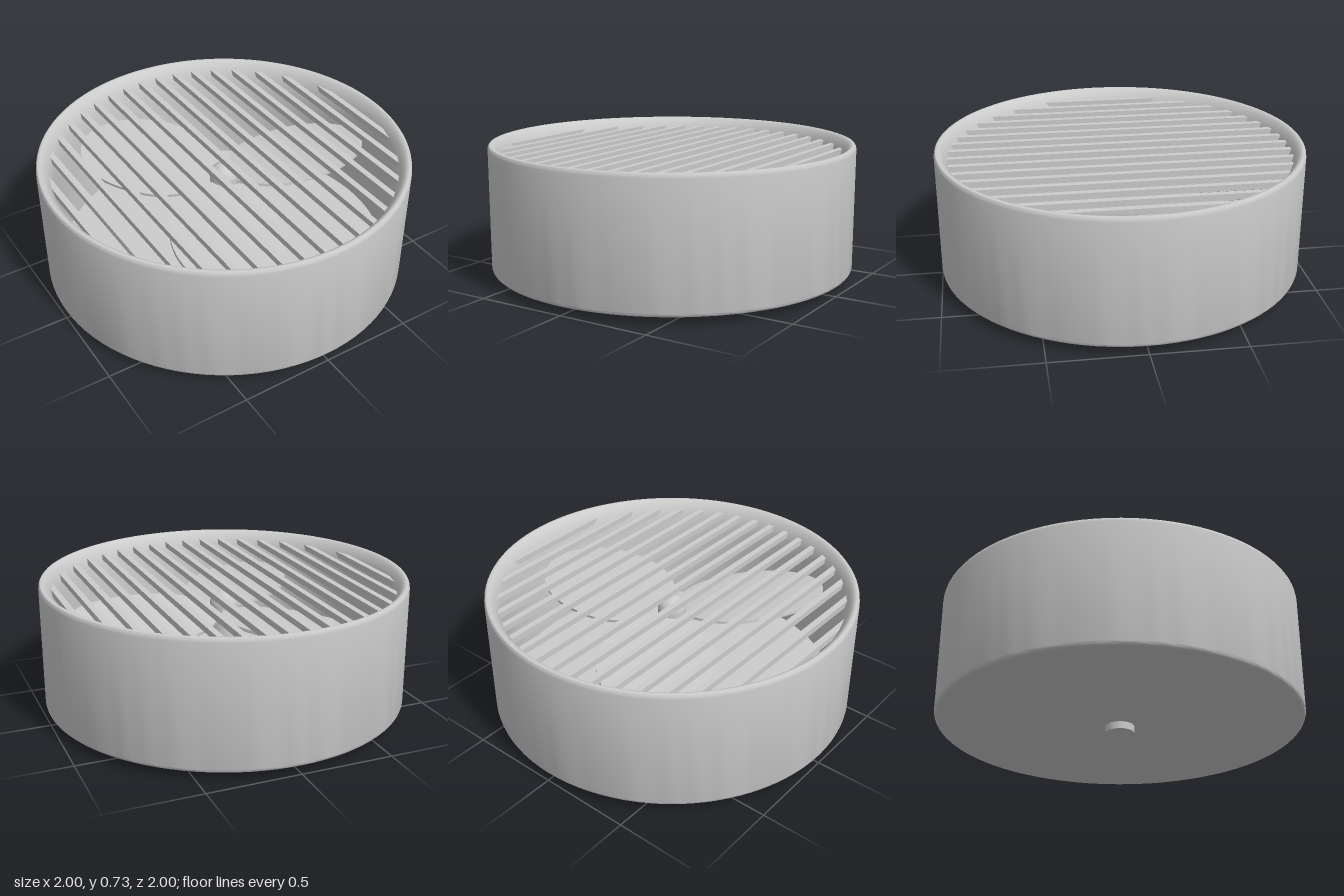
import * as THREE from 'three';
import { toCreasedNormals } from 'three/addons/utils/BufferGeometryUtils.js';

const material = new THREE.MeshStandardMaterial({ color: 0xcccccc });

function addMesh(parent, name, geometry) {
  const mesh = new THREE.Mesh(toCreasedNormals(geometry, 0.6), material);
  mesh.name = name;
  parent.add(mesh);
  return mesh;
}

// Flat shape drawn in x/z and thickened along y, with its top at y = 0
function slab(shape, thickness) {
  const geometry = new THREE.ExtrudeGeometry(shape, { depth: thickness, bevelEnabled: false, curveSegments: 16 });
  return geometry.rotateX(Math.PI / 2);
}

export function createModel() {
  const model = new THREE.Group();
  model.name = 'ventilationFan';

  // Round open-topped housing with softened rim and base edges
  const profile = [
    [0, 0.04], [0.98, 0.04], [0.99, 0.043], [0.997, 0.05], [1, 0.06],
    [1, 0.705], [0.998, 0.718], [0.992, 0.727], [0.983, 0.73],
    [0.972, 0.727], [0.96, 0.716], [0.945, 0.695], [0.932, 0.67], [0.92, 0.63],
    [0.91, 0.56], [0.905, 0.45], [0.905, 0.1], [0, 0.1],
  ].map(([r, y]) => new THREE.Vector2(r, y));
  addMesh(model, 'housing', new THREE.LatheGeometry(profile, 96));

  // Axle, protruding below the base, capped by a ball
  const axle = addMesh(model, 'axle', new THREE.CylinderGeometry(0.078, 0.078, 0.56, 40));
  axle.position.y = 0.28;
  const hub = addMesh(model, 'hub', new THREE.SphereGeometry(0.078, 40, 24));
  hub.position.y = 0.56;

  // Three pitched oval blades
  const blade = new THREE.Shape();
  blade.moveTo(0.03, -0.04);
  blade.bezierCurveTo(0.12, -0.2, 0.22, -0.295, 0.45, -0.295);
  blade.bezierCurveTo(0.72, -0.31, 0.9, -0.15, 0.9, 0);
  blade.bezierCurveTo(0.9, 0.15, 0.72, 0.31, 0.45, 0.295);
  blade.bezierCurveTo(0.22, 0.295, 0.12, 0.2, 0.03, 0.04);
  blade.closePath();
  const bladeGeometry = slab(blade, 0.016).rotateX(-0.12);
  for (let i = 0; i < 3; i++) {
    const mesh = addMesh(model, 'blade', bladeGeometry);
    mesh.position.y = 0.54;
    mesh.rotation.y = (i * Math.PI * 2) / 3;
  }

  // Grille of parallel slats whose ends follow the housing's inner circle
  const grille = new THREE.Group();
  grille.name = 'grille';
  model.add(grille);
  const radius = 0.935, halfWidth = 0.017;
  for (let i = -8; i <= 8; i++) {
    const x0 = i * 0.111 - halfWidth;
    const x1 = i * 0.111 + halfWidth;
    const z0 = Math.sqrt(radius ** 2 - x0 ** 2);
    const z1 = Math.sqrt(radius ** 2 - x1 ** 2);
    const shape = new THREE.Shape([[x0, -z0], [x1, -z1], [x1, z1], [x0, z0]]
      .map(([x, z]) => new THREE.Vector2(x, z)));
    addMesh(grille, 'slat', slab(shape, 0.033)).position.y = 0.68;
  }
  return model;
}
